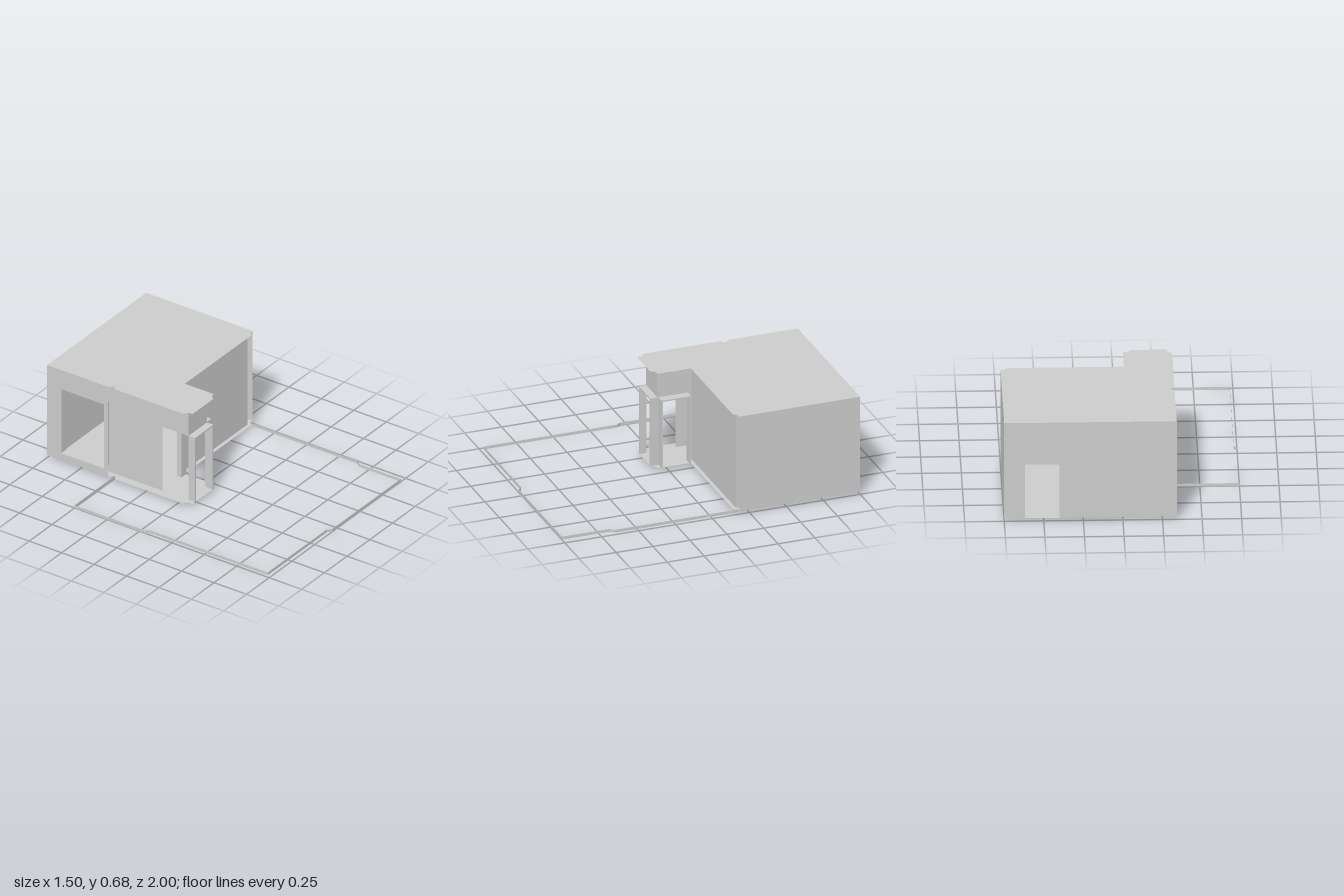
import * as THREE from 'three';

const mat = new THREE.MeshStandardMaterial({ color: 0xcccccc, side: THREE.DoubleSide, flatShading: true });
const FLOOR = 0.02, ROOF = 0.68, DOOR = 0.49;

export function createModel() {
  const model = new THREE.Group();

  function add(name, geometry) {
    const mesh = new THREE.Mesh(geometry, mat);
    mesh.name = name;
    model.add(mesh);
  }

  const outline = (pts) => pts.map(([a, b]) => new THREE.Vector2(a, b));
  const rect = (a, b, c, d) => [[a, b], [c, b], [c, d], [a, d]];

  // Flat sheet facing along x, y or z, with optional holes
  function sheet(name, axis, position, pts, holes = []) {
    const shape = new THREE.Shape(outline(pts));
    holes.forEach((h) => shape.holes.push(new THREE.Path(outline(h))));
    const geo = new THREE.ShapeGeometry(shape);
    if (axis === 'x') geo.rotateY(-Math.PI / 2).translate(position, 0, 0);
    if (axis === 'y') geo.rotateX(Math.PI / 2).translate(0, position, 0);
    if (axis === 'z') geo.translate(0, 0, position);
    add(name, geo);
  }

  // Ribbon: a path swept along one straight offset
  function ribbon(name, path, [dx, dy, dz]) {
    const pos = [];
    for (let i = 0; i < path.length - 1; i++) {
      const a = path[i], b = path[i + 1];
      const a2 = [a[0] + dx, a[1] + dy, a[2] + dz];
      const b2 = [b[0] + dx, b[1] + dy, b[2] + dz];
      pos.push(...a, ...b, ...b2, ...a, ...b2, ...a2);
    }
    const geo = new THREE.BufferGeometry();
    geo.setAttribute('position', new THREE.Float32BufferAttribute(pos, 3));
    geo.computeVertexNormals();
    add(name, geo);
  }

  function bar(name, x0, x1, y0, y1, z0, z1) {
    const geo = new THREE.BoxGeometry(x1 - x0, y1 - y0, z1 - z0);
    add(name, geo.translate((x0 + x1) / 2, (y0 + y1) / 2, (z0 + z1) / 2));
  }

  // Floor and roof share one plan with bevelled wall joints
  const plan = [
    [-0.34, -1], [0.75, -1], [0.75, -0.18], [0.725, -0.18], [0.7, -0.155],
    [-0.03, -0.155], [-0.03, 0.07], [-0.055, 0.07], [-0.085, 0.1], [-0.31, 0.1],
    [-0.31, 0.07], [-0.34, 0.045], [-0.34, -0.475], [-0.31, -0.5], [-0.34, -0.53],
  ];
  sheet('floor', 'y', FLOOR, plan);
  sheet('roof', 'y', ROOF, plan);

  // Outer wall skins
  const backDoor = rect(0.4, FLOOR, 0.62, DOOR);
  const sideWindow = rect(-0.89, 0.07, -0.56, 0.54);
  const doorway = (a, b, c, d) => [
    [a, FLOOR], [b, FLOOR], [b, DOOR], [c, DOOR], [c, FLOOR], [d, FLOOR], [d, ROOF], [a, ROOF],
  ];
  sheet('outerBackWall', 'z', -1, doorway(-0.34, 0.4, 0.62, 0.75));
  sheet('outerLeftWall', 'x', 0.75, rect(-1, FLOOR, -0.18, ROOF));
  sheet('outerRightWall', 'x', -0.34, rect(-1, FLOOR, -0.53, ROOF), [sideWindow]);

  // Inner wall skins
  sheet('innerBackWall', 'z', -0.945, doorway(-0.285, 0.4, 0.62, 0.695));
  sheet('innerLeftWall', 'x', 0.695, rect(-0.945, FLOOR, -0.18, ROOF));
  sheet('innerRightWall', 'x', -0.285, [
    [-0.945, FLOOR], [-0.15, FLOOR], [-0.15, DOOR], [0.05, DOOR], [0.05, ROOF], [-0.945, ROOF],
  ], [sideWindow]);
  sheet('frontWall', 'z', -0.18, rect(-0.08, FLOOR, 0.695, ROOF));

  // Entrance bay
  sheet('entranceFrontWall', 'z', 0.05, rect(-0.285, DOOR, -0.08, ROOF));
  sheet('entranceSideWall', 'x', -0.08, doorway(-0.18, -0.15, 0.04, 0.05));

  // Reveals through the double walls
  const loop = (pts) => [...pts, pts[0]];
  ribbon('windowReveal', loop(sideWindow).map(([z, y]) => [-0.34, y, z]), [0.055, 0, 0]);
  ribbon('backDoorReveal', loop(backDoor).map(([x, y]) => [x, y, -1]), [0, 0, 0.055]);

  // Entrance door frames
  const t = 0.01;
  for (const x of [-0.28, -0.09]) bar('frontDoorJamb', x, x + t, FLOOR, DOOR, 0.05, 0.1);
  bar('frontDoorHeader', -0.28, -0.08, DOOR - t, DOOR, 0.05, 0.1);
  for (const z of [-0.155, 0.035]) bar('sideDoorJamb', -0.08, -0.025, FLOOR, DOOR, z, z + t);
  bar('sideDoorHeader', -0.08, -0.025, DOOR - t, DOOR, -0.155, 0.045);

  // Low kerb around the yard, running on beneath the building
  const kerb = [
    [0.698, 1], [-0.055, 1], [-0.08, 0.975], [-0.73, 0.975], [-0.73, 0.07],
    [-0.75, 0.045], [-0.75, -0.5], [-0.285, -0.5], [-0.285, -0.945], [0.698, -0.945],
    [0.698, -0.2], [0.723, -0.175], [0.723, 0.65], [0.698, 0.68],
  ];
  ribbon('yardKerb', loop(kerb).map(([x, z]) => [x, 0, z]), [0, FLOOR, 0]);

  return model;
}
